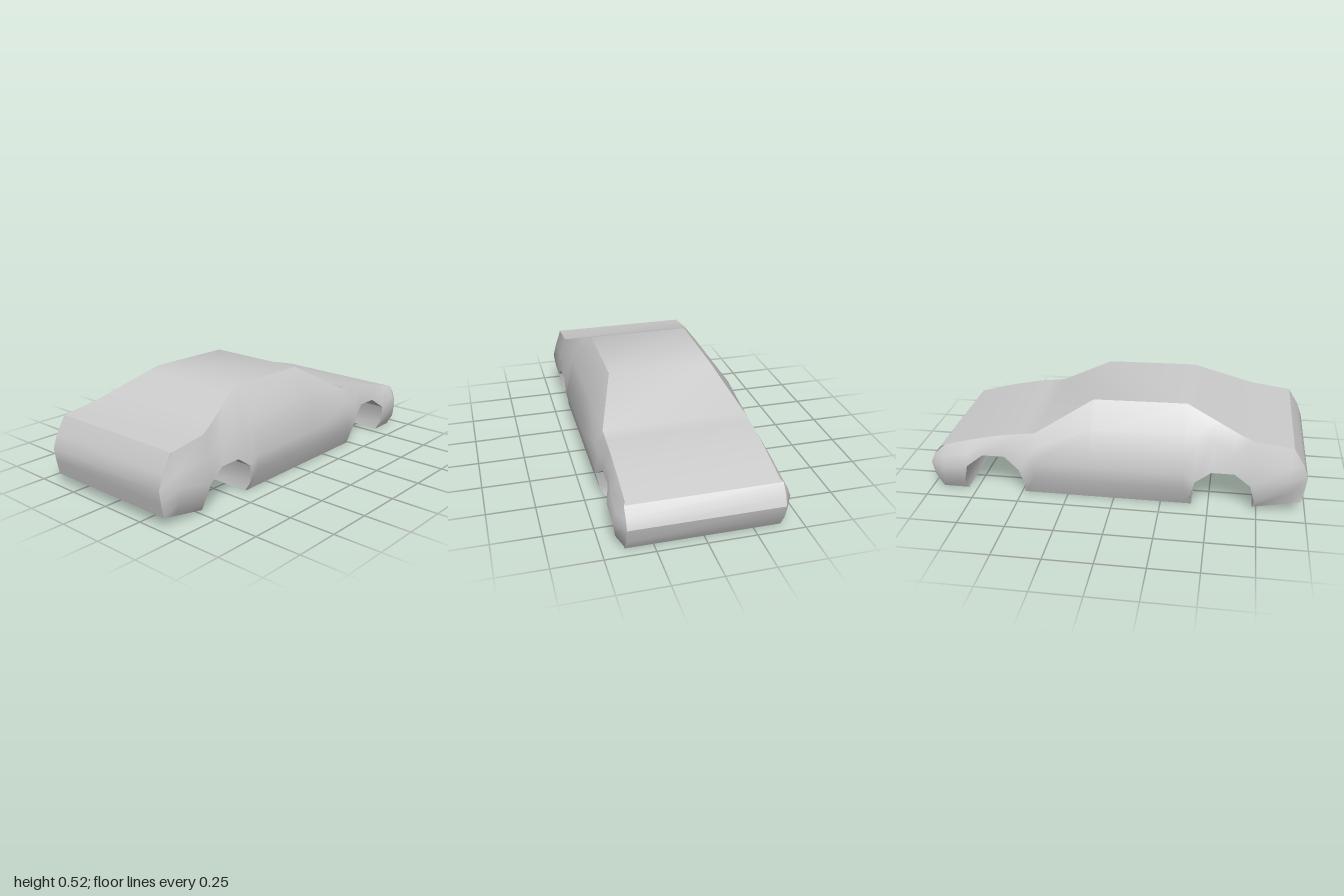
import * as THREE from 'three';
import { toCreasedNormals } from 'three/addons/utils/BufferGeometryUtils.js';

// Linear interpolation through [position, value] pairs
function track(pairs, t) {
  let i = 1;
  while (i < pairs.length - 1 && t > pairs[i][0]) i++;
  const [a, va] = pairs[i - 1], [b, vb] = pairs[i];
  return va + (vb - va) * THREE.MathUtils.clamp((t - a) / (b - a), 0, 1);
}

// Roof line and floor heights along x, half width of the roof edge along x, flank bulge along y
const roofY = (x) => track([[-0.92, 0.36], [-0.7, 0.39], [-0.37, 0.525], [0.12, 0.518], [0.42, 0.348], [0.6, 0.325], [0.76, 0.29], [0.94, 0.24]], x);
const floorY = (x) => track([[-0.975, 0.055], [-0.73, 0.008], [-0.69, 0]], x);
const roofZ = (x) => track([[-0.7, 0.39], [-0.37, 0.28], [0.12, 0.28], [0.42, 0.38], [0.94, 0.38]], x);
const flankZ = (y) => track([[0, 0.39], [0.05, 0.415], [0.12, 0.437], [0.2, 0.442], [0.39, 0.39]], y);

// Belt and roof-edge points above a flank point
function upper(x, [, y, z]) {
  const top = roofY(x), edge = roofZ(x);
  const belt = top > 0.45 ? [x, 0.39, flankZ(0.39)] : [x, (y + top) / 2, (z + edge) / 2 + 0.01];
  return [belt, [x, top, edge]];
}

// Every section is a column of five points from sill to roof edge.
function cabinSection(x) {
  const waist = [x, 0.2, flankZ(0.2)];
  return [[x, 0, flankZ(0)], [x, 0.11, flankZ(0.11)], waist, ...upper(x, waist)];
}

// Four sections of a wheel arch; the middle two have no points below the opening.
function archSections(cx, dent) {
  return [-1, -0.38, 0.38, 1].map((k) => {
    if (Math.abs(k) < 1) {
      const x = cx + k * 0.155;
      const lip = [x, 0.215, flankZ(0.215) - dent];
      return [null, null, lip, ...upper(x, lip)];
    }
    const foot = cx + k * 0.157, x = cx + k * 0.142;
    const lip = [x, 0.155, flankZ(0.155)];
    return [[foot, floorY(foot), flankZ(0)], [cx + k * 0.168, 0.05, flankZ(0.05)], lip, ...upper(x, lip)];
  });
}

// End cap outline of [x, y] points, and the wider section just inboard of it
const endSection = (points) => points.map(([x, y]) => [x, y, 0.39]);
const inboardSection = (x, points) => {
  const bulge = [0, 0.04, 0.05, 0.032];
  return points.map(([, y], r) => [x, r === 0 ? floorY(x) : r === 4 ? roofY(x) : y, r === 4 ? roofZ(x) : 0.39 + bulge[r]]);
};

const tail = [[-0.975, 0.055], [-0.99, 0.13], [-1, 0.2], [-0.975, 0.27], [-0.92, 0.36]];
const nose = [[0.94, 0], [0.98, 0.065], [1, 0.14], [0.98, 0.19], [0.94, 0.24]];

const sections = [
  endSection(tail),
  inboardSection(-0.91, tail),
  ...archSections(-0.57, 0.004),
  ...[-0.37, 0.12, 0.42].map(cabinSection),
  ...archSections(0.643, 0.022),
  inboardSection(0.92, nose),
  endSection(nose),
];

const flip = ([x, y, z]) => [x, y, -z];

// Builds a geometry from quads given counter-clockwise.
function fromQuads(quads, crease) {
  const positions = [];
  for (const [a, b, c, d] of quads) positions.push(...a, ...b, ...c, ...a, ...c, ...d);
  const geometry = new THREE.BufferGeometry();
  geometry.setAttribute('position', new THREE.Float32BufferAttribute(positions, 3));
  return toCreasedNormals(geometry, crease);
}

// Quads of the left flank (+z)
function flankQuads() {
  const quads = [];
  for (let i = 0; i < sections.length - 1; i++) {
    const s = sections[i], t = sections[i + 1];
    for (let r = 0; r < 4; r++) {
      if (s[r] && t[r]) quads.push([s[r], t[r], t[r + 1], s[r + 1]]);
    }
  }
  return quads;
}

// Outline of the flank, counter-clockwise from the tail's lower corner
function outline() {
  const points = [];
  const last = sections.length - 1;
  sections.forEach((s, i) => {
    if (!s[0]) points.push(s[2]);
    else if (i < last && !sections[i + 1][0]) points.push(s[0], s[1], s[2]);
    else if (i > 0 && !sections[i - 1][0]) points.push(s[2], s[1], s[0]);
    else points.push(s[0]);
  });
  points.push(...sections[last].slice(1, 4));
  for (let i = last; i >= 0; i--) points.push(sections[i][4]);
  points.push(...sections[0].slice(1, 4).reverse());
  return points;
}

export function createModel() {
  const car = new THREE.Group();
  car.name = 'carBody';
  const material = new THREE.MeshStandardMaterial({ color: 0xcccccc });
  const add = (name, geometry) => {
    const mesh = new THREE.Mesh(geometry, material);
    mesh.name = name;
    car.add(mesh);
  };

  // Flanks
  const left = flankQuads();
  add('leftFlank', fromQuads(left, 1));
  add('rightFlank', fromQuads(left.map((q) => q.map(flip).reverse()), 1));

  // Roof, bonnet, nose, floor, wheel wells and tail, spanning between the flanks
  const loop = outline();
  const shell = loop.map((p, i) => {
    const q = loop[(i + 1) % loop.length];
    return [p, flip(p), flip(q), q];
  });
  add('shell', fromQuads(shell, 0.62));
  return car;
}
